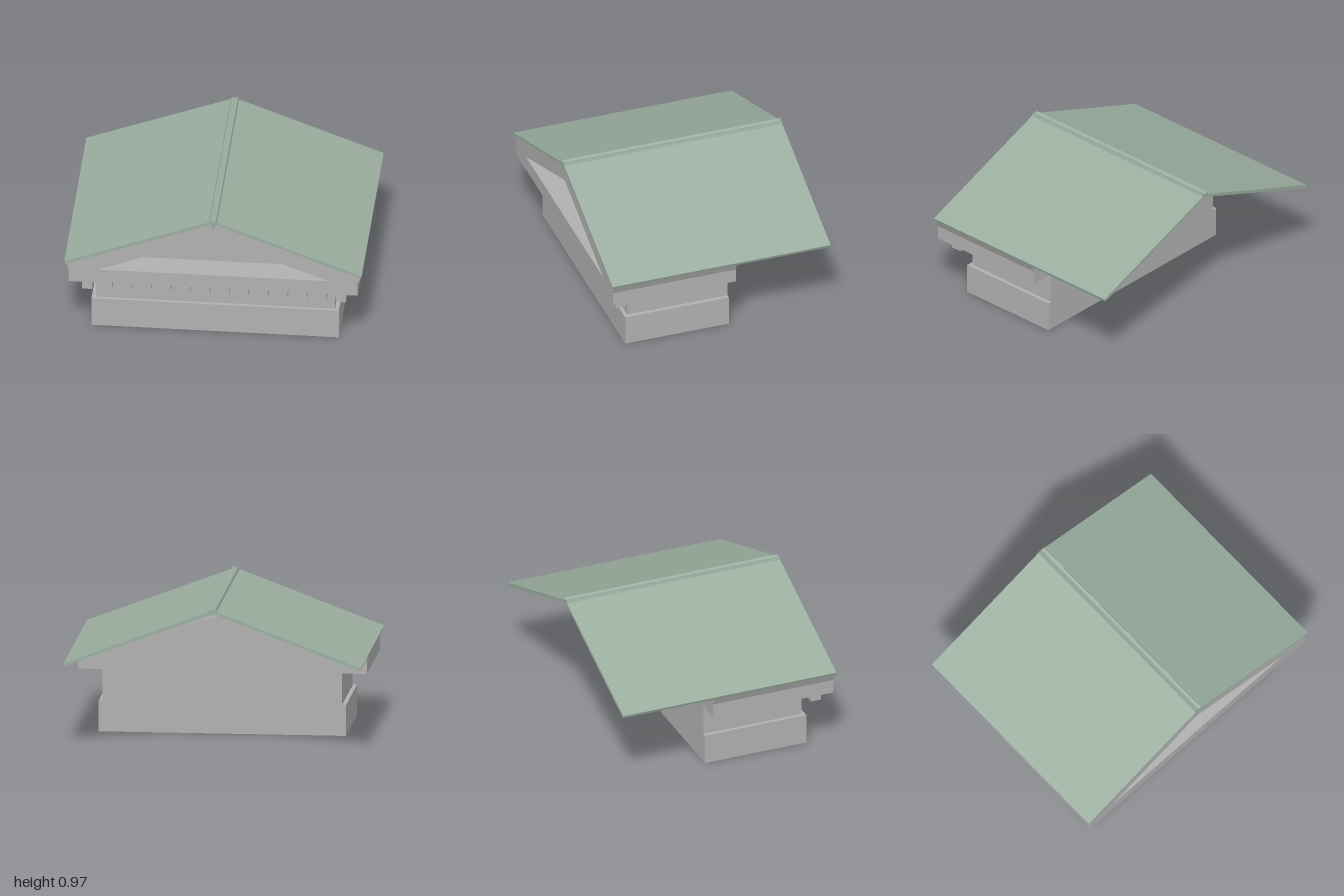
import * as THREE from 'three';

const BACK = -0.11; // shared flush rear plane of all the masonry

export function createModel() {
  const model = new THREE.Group();
  const stone = new THREE.MeshStandardMaterial({ color: 0xb0b0b0 });
  stone.name = 'stone grey';
  const copper = new THREE.MeshStandardMaterial({ color: 0x9aad9f });
  copper.name = 'pale green roof';

  const add = (name, geometry, material) => {
    const mesh = new THREE.Mesh(geometry, material);
    mesh.name = name;
    model.add(mesh);
    return mesh;
  };
  const points = (list) => list.map(([x, y]) => new THREE.Vector2(x, y));
  // Box from its half width, height range and depth range
  const block = (name, halfWidth, y0, y1, z0, z1, x = 0) =>
    add(name, new THREE.BoxGeometry(halfWidth * 2, y1 - y0, z1 - z0), stone)
      .position.set(x, (y0 + y1) / 2, (z0 + z1) / 2);
  // Front outline extruded along z
  const slab = (name, shape, z0, z1, material) =>
    add(name, new THREE.ExtrudeGeometry(shape, { depth: z1 - z0, bevelEnabled: false }), material)
      .position.z = z0;

  // Stepped wall below the cornice
  block('base', 0.832, 0, 0.21, BACK, 0.625);
  block('frieze', 0.805, 0.21, 0.425, BACK, 0.6);

  // Row of dentils hanging from the cornice
  const count = 14;
  for (let i = 0; i < count; i++) {
    block('dentil', 0.035, 0.338, 0.425, 0.635, 0.71, -0.853 + (i * 1.706) / (count - 1));
  }

  // Pediment: flared cornice, gable, notch under the ridge, triangular opening
  const gable = new THREE.Shape(points([
    [-0.972, 0.425], [0.972, 0.425], [0.972, 0.52], [0.993, 0.57],
    [0.022, 0.935], [0, 0.888], [-0.022, 0.935],
    [-0.993, 0.57], [-0.972, 0.52],
  ]));
  gable.holes.push(new THREE.Path(points([[-0.775, 0.528], [0, 0.825], [0.775, 0.528]])));
  slab('pediment', gable, BACK, 0.762, stone);

  // Recessed wall of the opening, leaving a fine slit below its apex
  const tympanum = new THREE.Shape(points([
    [-0.775, 0.528], [0.775, 0.528], [0.27, 0.7215], [0, 0.814], [-0.27, 0.7215],
  ]));
  slab('tympanum', tympanum, BACK, 0.58, stone);

  // Two roof slabs that cross at the ridge
  for (const side of [-1, 1]) {
    const outline = [[1, 0.588], [0.993, 0.568], [-0.028, 0.953], [-0.021, 0.973]];
    const roof = new THREE.Shape(points(outline.map(([x, y]) => [x * side, y])));
    slab(side > 0 ? 'leftRoof' : 'rightRoof', roof, -0.774, 0.774, copper);
  }
  return model;
}
